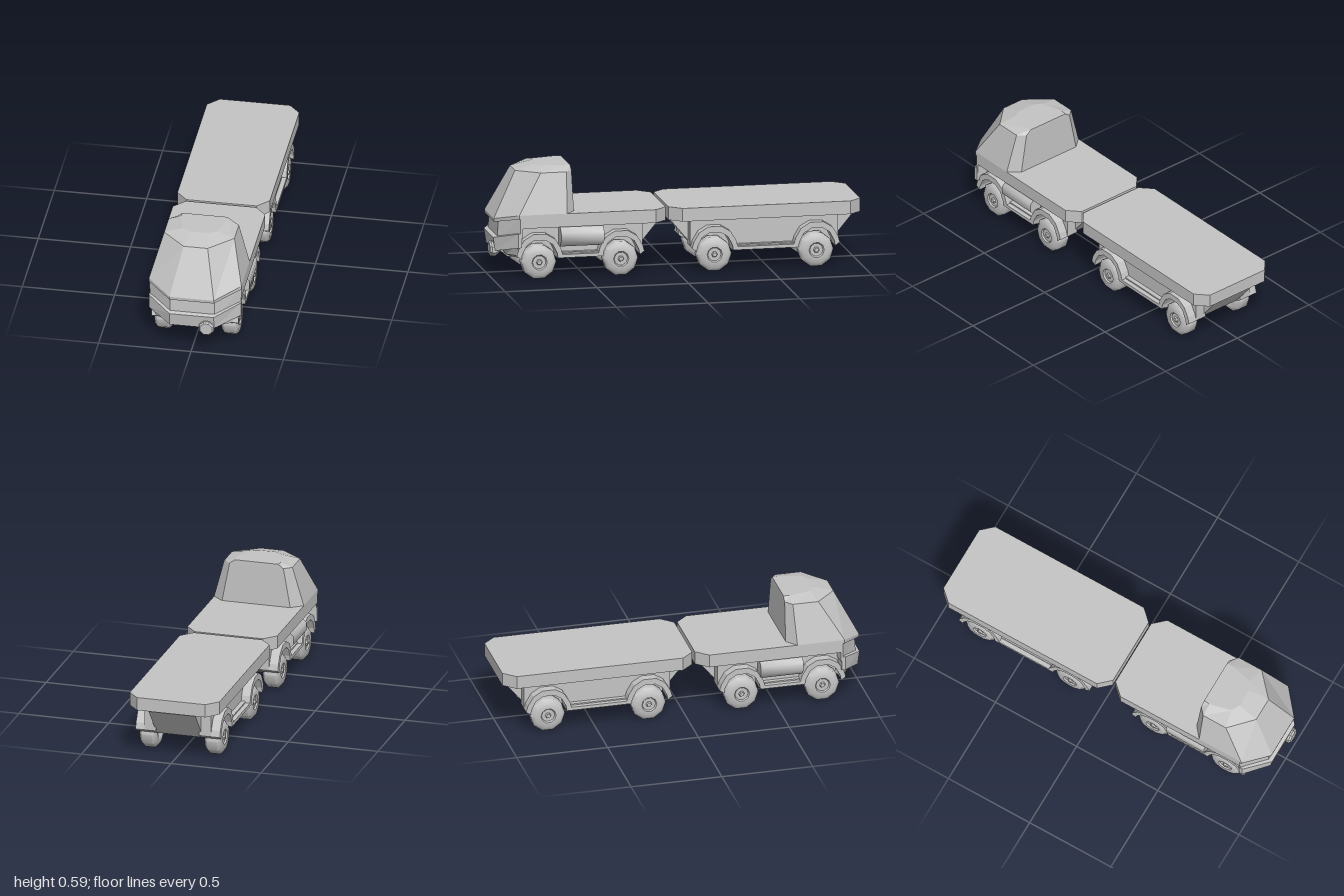
import * as THREE from 'three';
import { toCreasedNormals } from 'three/addons/utils/BufferGeometryUtils.js';

const paint = new THREE.MeshStandardMaterial({ color: 0xc4c4c4 });
paint.name = 'grey';

function add(group, name, geometry) {
  const mesh = new THREE.Mesh(geometry, paint);
  mesh.name = name;
  group.add(mesh);
  return mesh;
}

const crease = (g, angle = 0.3) => toCreasedNormals(g, angle);

// Closed solid through stacked rings of [x, y, z] points
function loft(rings) {
  const out = [];
  const n = rings[0].length;
  const tri = (...pts) => pts.forEach((p) => out.push(...p));
  const centre = (ring) => [0, 1, 2].map((k) => ring.reduce((s, p) => s + p[k], 0) / n);
  const first = rings[0], last = rings[rings.length - 1];
  for (let i = 0; i < n; i++) {
    const j = (i + 1) % n;
    for (let r = 0; r < rings.length - 1; r++) {
      const lo = rings[r], hi = rings[r + 1];
      tri(lo[i], hi[i], lo[j]);
      tri(lo[j], hi[i], hi[j]);
    }
    tri(centre(first), first[i], first[j]);
    tri(centre(last), last[j], last[i]);
  }
  const g = new THREE.BufferGeometry();
  g.setAttribute('position', new THREE.Float32BufferAttribute(out, 3));
  g.computeVertexNormals();
  return g;
}

// Mirrored ring from the points of its +x half, ordered back to front
const ring = (...half) => [...half, ...half.map(([x, y, z]) => [-x, y, z]).reverse()];

const shapeOf = (pts) => new THREE.Shape(pts.map(([u, v]) => new THREE.Vector2(u, v)));

// Side profile of [z, y] points, spanning x from x0 to x1
function sideExtrude(pts, x0, x1) {
  const g = new THREE.ExtrudeGeometry(shapeOf(pts), { depth: x1 - x0, bevelEnabled: false });
  return g.rotateY(-Math.PI / 2).translate(x1, 0, 0);
}

// Load deck with cut corners
function deck(zBack, zFront, frontX, frontCut) {
  const half = [[0.19, zBack], [0.25, zBack + 0.065], [0.25, zFront - frontCut], [frontX, zFront]];
  const pts = [...half, ...half.map(([x, z]) => [-x, z]).reverse()];
  const g = new THREE.ExtrudeGeometry(shapeOf(pts), { depth: 0.072, bevelEnabled: false });
  return g.rotateX(Math.PI / 2).translate(0, 0.355, 0);
}

const outerArch = [[-0.125, 0.13], [-0.115, 0.165], [-0.085, 0.215], [-0.035, 0.245]];
const innerArch = [[-0.1, 0.112], [-0.095, 0.14], [-0.07, 0.188], [-0.03, 0.212]];
const archAt = (arch, z) => [
  ...arch.map(([u, v]) => [z + u, v]),
  ...arch.map(([u, v]) => [z - u, v]).reverse(),
];

function wheelGeometry() {
  const profile = [[0, -0.04], [0.036, -0.04], [0.042, -0.046], [0.074, -0.046], [0.0945, -0.028],
    [0.0945, 0.028], [0.074, 0.046], [0.042, 0.046], [0.036, 0.038], [0, 0.038]];
  const pts = profile.map(([r, h]) => new THREE.Vector2(r, h));
  return crease(new THREE.LatheGeometry(pts, 10).rotateZ(-Math.PI / 2), 0.85);
}

// Fenders, running boards, side walls and wheels for two axles
function runningGear(group, zRear, zFront) {
  const outer = [...archAt(outerArch, zRear), ...archAt(outerArch, zFront)];
  const inner = [...archAt(innerArch, zRear), ...archAt(innerArch, zFront)].reverse();
  const band = [...outer, ...inner];
  const wall = [...outer, [zFront + 0.125, 0.285], [zRear - 0.125, 0.285]];
  const wheel = wheelGeometry();
  for (const s of [1, -1]) {
    const side = s > 0 ? 'left' : 'right';
    const span = (a, b) => (s > 0 ? [a, b] : [-b, -a]);
    add(group, side + 'FendersAndStep', sideExtrude(band, ...span(0.125, 0.235)));
    add(group, side + 'SideWall', sideExtrude(wall, ...span(0.12, 0.185)));
    for (const z of [zRear, zFront]) {
      const hub = new THREE.Group();
      hub.name = side + 'Wheel';
      add(hub, 'tyre', wheel);
      const cap = new THREE.CylinderGeometry(0.012, 0.018, 0.012, 6);
      add(hub, 'hubNut', crease(cap.rotateZ(-Math.PI / 2).translate(0.042, 0, 0)));
      hub.position.set(s * 0.181, 0.09, z);
      if (s < 0) hub.rotation.y = Math.PI;
      // keep a flat of the tyre on the ground
      group.add(hub);
    }
  }
}

function buildCab(truck) {
  // Tapered cabin: lip, belt line, roof rim, raised roof
  add(truck, 'cabin', loft([
    ring([0.19, 0.33, 0.56], [0.25, 0.33, 0.61], [0.25, 0.335, 0.87], [0.12, 0.3, 0.98]),
    ring([0.19, 0.355, 0.56], [0.25, 0.355, 0.61], [0.25, 0.355, 0.87], [0.12, 0.318, 0.982]),
    ring([0.15, 0.57, 0.565], [0.19, 0.57, 0.6], [0.19, 0.57, 0.74], [0.065, 0.563, 0.855]),
    ring([0.12, 0.592, 0.566], [0.125, 0.592, 0.6], [0.095, 0.592, 0.72], [0.05, 0.592, 0.745]),
  ]));
  // Recessed grille panel
  add(truck, 'grille', loft([
    ring([0.19, 0.23, 0.845], [0.247, 0.23, 0.85], [0.247, 0.23, 0.862], [0.12, 0.19, 0.965]),
    ring([0.19, 0.34, 0.845], [0.247, 0.34, 0.85], [0.247, 0.34, 0.862], [0.12, 0.305, 0.957]),
  ]));
  // Wraparound bumper
  add(truck, 'bumper', loft([
    ring([0.2, 0.178, 0.85], [0.25, 0.178, 0.855], [0.25, 0.178, 0.875], [0.12, 0.142, 0.975]),
    ring([0.2, 0.255, 0.85], [0.25, 0.255, 0.855], [0.25, 0.255, 0.875], [0.12, 0.215, 0.985]),
  ]));
  // Lower front skirt
  add(truck, 'frontSkirt', loft([
    ring([0.1, 0.106, 0.84], [0.15, 0.106, 0.852], [0.15, 0.106, 0.865], [0.1, 0.106, 0.89]),
    ring([0.13, 0.13, 0.85], [0.22, 0.13, 0.855], [0.22, 0.13, 0.87], [0.11, 0.12, 0.915]),
    ring([0.13, 0.19, 0.85], [0.232, 0.19, 0.855], [0.232, 0.19, 0.873], [0.115, 0.18, 0.955]),
  ]));
  // Guard plate under the nose
  add(truck, 'guardPlate', loft([
    ring([0.068, 0.095, 0.63], [0.068, 0.095, 0.895]),
    ring([0.08, 0.146, 0.63], [0.08, 0.146, 0.955]),
  ]));
  // Single round lamp on the bumper
  const lamp = [[0, 0], [0.025, 0], [0.043, 0.025], [0.043, 0.045], [0.035, 0.055], [0, 0.055]];
  const lampGeo = new THREE.LatheGeometry(lamp.map(([r, h]) => new THREE.Vector2(r, h)), 8, Math.PI / 8);
  add(truck, 'lamp', crease(lampGeo.rotateX(Math.PI / 2), 0.5)).position.set(0.081, 0.147, 0.945);
}

export function createModel() {
  const model = new THREE.Group();
  model.name = 'truckWithTrailer';

  const truck = new THREE.Group();
  truck.name = 'truck';
  add(truck, 'deck', deck(0.06, 0.93, 0.12, 0.07));
  add(truck, 'chassis', sideExtrude(
    [[0.075, 0.285], [0.2, 0.135], [0.225, 0.106], [0.87, 0.106], [0.87, 0.285]], -0.13, 0.13));
  add(truck, 'floor', new THREE.BoxGeometry(0.42, 0.03, 0.245)).position.set(0, 0.122, 0.5325);
  runningGear(truck, 0.31, 0.755);
  buildCab(truck);
  // Eight-sided tanks between the axles
  for (const s of [1, -1]) {
    const tank = new THREE.CylinderGeometry(0.06, 0.06, 0.235, 8, 1, false, Math.PI / 8);
    add(truck, 'fuelTank', crease(tank.rotateX(Math.PI / 2), 0.9)).position.set(s * 0.199, 0.227, 0.525);
  }
  model.add(truck);

  const trailer = new THREE.Group();
  trailer.name = 'trailer';
  add(trailer, 'deck', deck(-1, 0.045, 0.19, 0.065));
  add(trailer, 'chassis', sideExtrude(
    [[-0.99, 0.285], [-0.865, 0.135], [-0.84, 0.106], [-0.115, 0.106], [-0.09, 0.135], [0.035, 0.285]], -0.13, 0.13));
  add(trailer, 'floor', new THREE.BoxGeometry(0.42, 0.03, 0.355)).position.set(0, 0.122, -0.4775);
  runningGear(trailer, -0.755, -0.2);
  model.add(trailer);

  return model;
}
